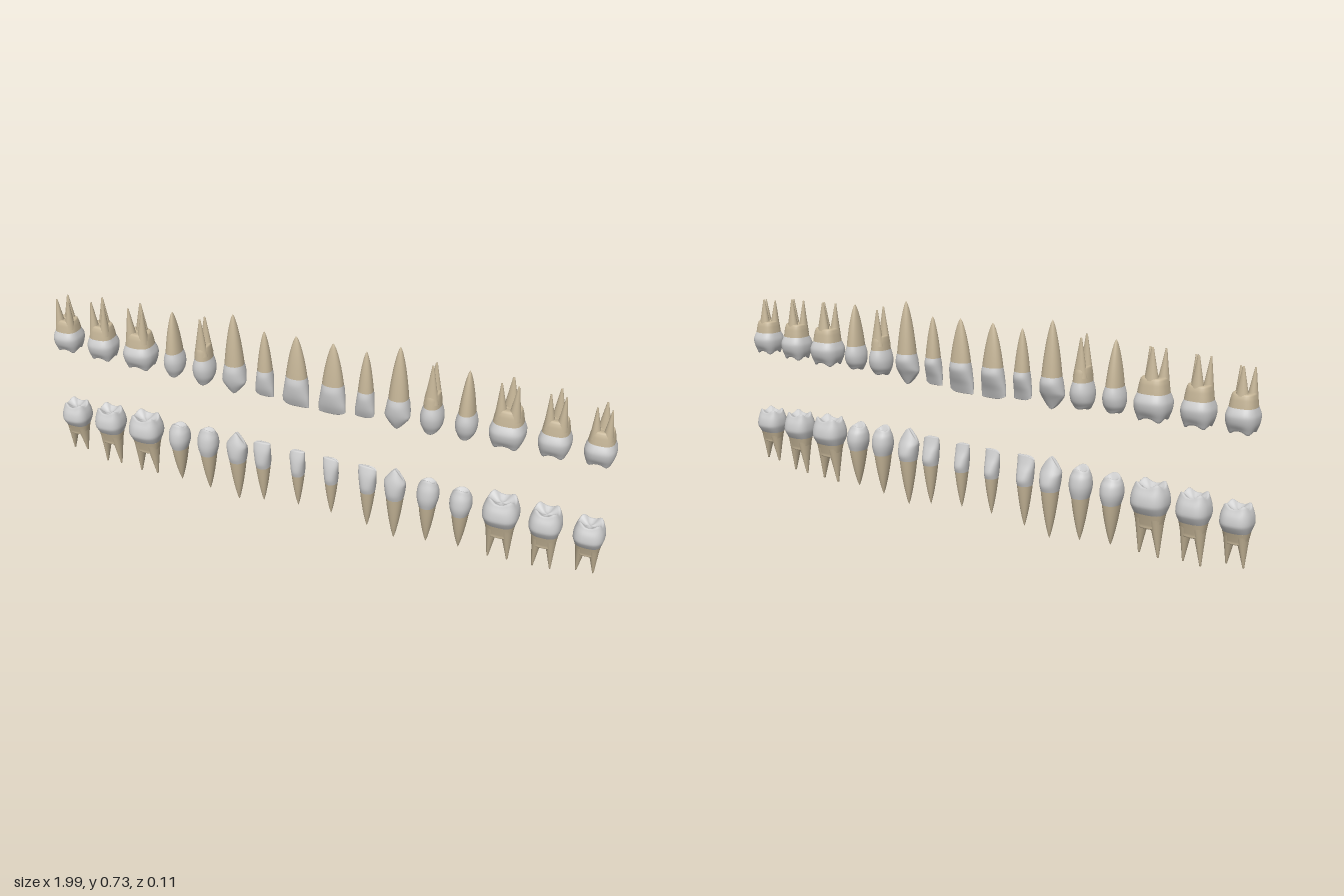
import * as THREE from 'three';

const enamel = new THREE.MeshStandardMaterial({ color: 0xcccccc, side: THREE.DoubleSide });
const dentine = new THREE.MeshStandardMaterial({ color: 0xc6b698, side: THREE.DoubleSide });

// Crown profiles, neck to biting surface: [height, half width, front depth, back depth, cusp weight]
const PROFILES = {
  incisor: [[0, .78, .85, .85, 0], [.2, .85, 1, 1, 0], [.45, .93, .95, .75, 0], [.7, 1, .78, .38, .2],
    [.93, 1, .5, .1, .8], [1, .92, .36, 0, 1], [1, 0, .18, -.18, 1]],
  canine: [[0, .78, .85, .85, 0], [.2, .88, 1, 1, 0], [.45, .98, .97, .8, 0], [.7, 1, .8, .45, .5],
    [.93, .9, .5, .15, 1], [1, .7, .35, .05, 1], [1, 0, .15, -.15, 0]],
  premolar: [[0, .76, .84, .84, 0], [.2, .92, .97, .97, 0], [.4, 1, 1, 1, 0], [.65, .96, .9, .88, .2],
    [.87, .84, .68, .66, .8], [1, .66, .52, .5, 1], [.9, .4, .3, .3, .6], [.72, 0, 0, 0, 0]],
  molar: [[0, .84, .78, .78, 0], [.18, .94, .94, .94, 0], [.35, 1, 1, 1, 0], [.6, .97, .92, .92, .1],
    [.85, .87, .75, .75, .6], [1, .76, .64, .64, 1], [.92, .56, .48, .48, .8], [.78, .28, .25, .25, .3], [.74, 0, 0, 0, 0]],
};

// How far the rim drops between cusps, around the angle a
const CUSPS = {
  incisor: (a, side) => -.1 * Math.max(0, Math.cos(a) * side) ** 3,
  canine: (a) => -.28 * Math.abs(Math.cos(a)) ** 1.3,
  premolar: (a) => -.13 * Math.cos(a) ** 2 - .1 * Math.max(0, -Math.sin(a)),
  molar: (a) => -.07 * (1 + Math.cos(4 * a)),
};

// Teeth from the midline outwards: [type, x, width, depth, crown tip y, root tip y, root count]
const UPPER = [
  ['incisor', .065, .094, .066, .445, .70, 1], ['incisor', .18, .066, .06, .457, .695, 1],
  ['canine', .293, .085, .078, .443, .735, 1], ['premolar', .408, .075, .095, .455, .70, 2],
  ['premolar', .522, .07, .09, .46, .70, 1], ['molar', .656, .114, .114, .465, .695, 3],
  ['molar', .806, .102, .106, .468, .69, 3], ['molar', .947, .098, .104, .473, .675, 3],
];
const LOWER = [
  ['incisor', .062, .055, .06, .268, .04, 1], ['incisor', .195, .064, .064, .27, .025, 1],
  ['canine', .293, .075, .076, .283, .003, 1], ['premolar', .408, .074, .08, .275, .02, 1],
  ['premolar', .522, .074, .086, .268, .03, 1], ['molar', .658, .12, .11, .27, .025, 2],
  ['molar', .806, .106, .104, .265, .03, 2], ['molar', .947, .1, .1, .257, .055, 2],
];
const NAMES = ['centralIncisor', 'lateralIncisor', 'canine', 'firstPremolar', 'secondPremolar',
  'firstMolar', 'secondMolar', 'thirdMolar'];

// Smooth interpolation through the rows of a profile
function sample(rows, t) {
  const f = t * (rows.length - 1), i = Math.min(Math.floor(f), rows.length - 2), u = f - i;
  const row = (k) => rows[Math.max(0, Math.min(rows.length - 1, k))];
  return rows[i].map((b, k) => {
    const a = row(i - 1)[k], c = row(i + 1)[k], d = row(i + 2)[k];
    return b + .5 * u * (c - a + u * (2 * a - 5 * b + 4 * c - d + u * (3 * (b - c) + d - a)));
  });
}

// Closed loops of points joined along t, where point(t, angle) gives [x, y, z]
function loft(name, material, rings, seg, goesUp, point) {
  const pos = [], index = [];
  for (let i = 0; i <= rings; i++)
    for (let j = 0; j < seg; j++) pos.push(...point(i / rings, j / seg * Math.PI * 2));
  for (let i = 0; i < rings; i++)
    for (let j = 0; j < seg; j++) {
      const a = i * seg + j, b = i * seg + (j + 1) % seg, c = a + seg, d = b + seg;
      index.push(...(goesUp ? [a, c, b, b, c, d] : [a, b, c, b, d, c]));
    }
  const geometry = new THREE.BufferGeometry();
  geometry.setAttribute('position', new THREE.Float32BufferAttribute(pos, 3));
  geometry.setIndex(index);
  geometry.computeVertexNormals();
  const mesh = new THREE.Mesh(geometry, material);
  mesh.name = name;
  return mesh;
}

const round = (v, e) => Math.sign(v) * Math.abs(v) ** e;
const mix = THREE.MathUtils.lerp;

function makeTooth([type, , width, depth, crownY, rootY, roots], neckY, side) {
  const tooth = new THREE.Group();
  const upper = rootY > neckY, w = width / 2, d = depth / 2;
  const e = type === 'molar' ? .74 : .92; // squareness of the outline
  const profile = PROFILES[type], [, nx, nz] = profile[0];
  const neckX = w * nx, neckZ = d * nz * (!upper && type === 'molar' ? .9 : 1);

  // Crown with cusps or a biting edge
  tooth.add(loft('crown', enamel, 24, 32, !upper, (t, a) => {
    const [h, sx, front, back, cusp] = sample(profile, t);
    const s = round(Math.sin(a), e), mid = (front - back) / 2;
    const neckFit = mix(neckZ / (d * nz), 1, Math.min(1, t * 5));
    return [
      w * sx * round(Math.cos(a), e),
      mix(neckY, crownY, h + cusp * CUSPS[type](a, side)),
      d * neckFit * (mid + (front + back) / 2 * s),
    ];
  }));

  if (roots === 1) {
    const p = upper ? .72 : .85;
    tooth.add(loft('root', dentine, 18, 24, upper, (t, a) => {
      const k = Math.max(0, 1 - t * t * .3 - t * .7) ** p;
      return [neckX * k * round(Math.cos(a), e), mix(neckY, rootY, t), neckZ * k * round(Math.sin(a), e)];
    }));
    return tooth;
  }

  // Root trunk, closed by a hollow where the roots part
  const trunk = [[0, 1, 1], [.13, .94, upper ? .94 : .86], [.26, .86, upper ? .85 : .73], [.34, .7, .65], [.3, 0, 0]];
  tooth.add(loft('rootTrunk', dentine, 16, 28, upper, (t, a) => {
    const [h, sx, sz] = sample(trunk, t);
    return [neckX * sx * round(Math.cos(a), e), mix(neckY, rootY, h), neckZ * sz * round(Math.sin(a), e)];
  }));

  // Separate roots: [start x, start z, radius x, radius z, tip x, tip z, length], in neck units
  const shapes = roots === 3
    ? [[-.44, .38, .46, .5, -.56, .42, .95], [.44, .38, .46, .5, .56, .42, .95], [0, -.42, .6, .5, 0, -.42, 1]]
    : upper
      ? [[0, .46, .88, .46, 0, .44, 1], [0, -.46, .88, .46, 0, -.44, .96]]
      : [[-.48, 0, .46, .86, -.66, 0, 1], [.48, 0, .46, .86, .66, 0, .97]];
  for (const [x0, z0, rx, rz, x1, z1, length] of shapes)
    tooth.add(loft('root', dentine, 16, 18, upper, (t, a) => {
      const u = Math.min(1, t / .94);
      const k = t > .97 ? 0 : mix(1, .12, u ** .95);
      return [
        neckX * (mix(x0, x1, u) + rx * k * Math.cos(a)),
        mix(neckY, rootY, mix(.1, length, u)),
        neckZ * (mix(z0, z1, u) + rz * k * Math.sin(a)),
      ];
    }));
  return tooth;
}

export function createModel() {
  const model = new THREE.Group();
  model.name = 'teeth';
  for (const [rowName, specs, neckY] of [['upper', UPPER, .553], ['lower', LOWER, .17]]) {
    const row = new THREE.Group();
    row.name = rowName + 'Teeth';
    specs.forEach((spec, i) => {
      for (const side of [1, -1]) {
        const tooth = makeTooth(spec, neckY, side);
        tooth.name = `${rowName} ${side > 0 ? 'left' : 'right'} ${NAMES[i]}`;
        tooth.position.x = side * spec[1];
        row.add(tooth);
      }
    });
    model.add(row);
  }
  return model;
}
